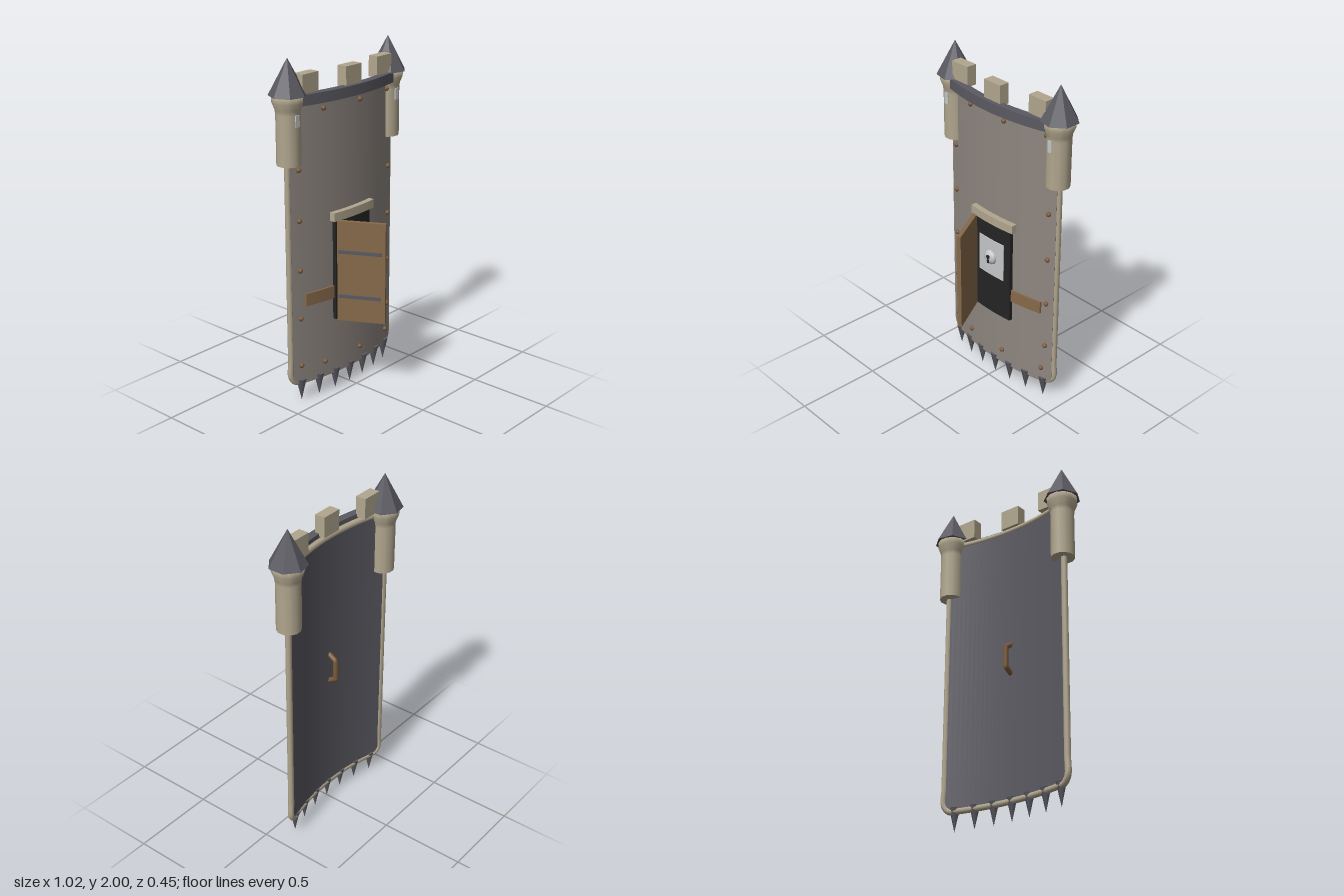
import * as THREE from 'three';

const mat = (name, color, extra = {}) => {
  const m = new THREE.MeshStandardMaterial({ color, ...extra });
  m.name = name;
  return m;
};

const CURVE = 0.37;
const bow = (x) => -CURVE * x * x;

// Box spanning the given ranges, bowed backwards towards the sides
function bentBox(x0, x1, y0, y1, z0, z1, segs = 16) {
  const g = new THREE.BoxGeometry(x1 - x0, y1 - y0, z1 - z0, segs, 1, 1);
  g.translate((x0 + x1) / 2, (y0 + y1) / 2, (z0 + z1) / 2);
  const p = g.attributes.position;
  for (let i = 0; i < p.count; i++) p.setZ(i, p.getZ(i) + bow(p.getX(i)));
  g.computeVertexNormals();
  return g;
}

export function createModel() {
  const stone = mat('paleStone', 0xb2a78f);
  const slate = mat('slate', 0x5b5a62);
  const face = mat('shieldFace', 0x8e8680);
  const wood = mat('wood', 0x86694a);
  const bronze = mat('bronze', 0x7d5c3c);
  const black = mat('darkRecess', 0x242424);
  const silver = mat('silver', 0xc6c7c9);

  const root = new THREE.Group();
  const add = (name, geo, material, x = 0, y = 0, z = 0, parent = root) => {
    const m = new THREE.Mesh(geo, material);
    m.name = name;
    m.position.set(x, y, z);
    parent.add(m);
    return m;
  };

  // Curved shield panel with clipped lower corners
  const panel = bentBox(-0.42, 0.42, 0.11, 1.77, -0.072, -0.042, 28);
  const p = panel.attributes.position;
  for (let i = 0; i < p.count; i++) {
    if (p.getY(i) < 0.2 && Math.abs(p.getX(i)) > 0.41) p.setY(i, 0.14);
  }
  add('panel', panel, [slate, slate, slate, slate, face, slate]);

  // Rim tube following the panel outline
  const outline = [];
  const rimPoint = (x, y) => outline.push(new THREE.Vector3(x, y, -0.061 + bow(x)));
  for (let i = -10; i <= 10; i++) rimPoint(i * 0.0385, 0.115);
  for (let i = 0; i <= 16; i++) rimPoint(0.418, 0.15 + i * 0.099);
  for (let i = 10; i >= -10; i--) rimPoint(i * 0.0385, 1.77);
  for (let i = 16; i >= 0; i--) rimPoint(-0.418, 0.15 + i * 0.099);
  const rimCurve = new THREE.CatmullRomCurve3(outline, true, 'centripetal');
  rimCurve.arcLengthDivisions = 800;
  add('rim', new THREE.TubeGeometry(rimCurve, 220, 0.018, 8, true), stone);

  // Band and battlements along the top
  add('topBand', bentBox(-0.37, 0.37, 1.745, 1.805, -0.045, 0.003), slate);
  for (const s of [-1, 0, 1]) {
    add('merlon', new THREE.BoxGeometry(0.124, 0.12, 0.062),
      stone, s * 0.301 + 0.002, 1.85, s ? -0.09 : -0.052);
  }

  // Corner towers with pointed roofs and window slits
  const towerProfile = [
    [0, 1.42], [0.068, 1.42], [0.068, 1.42], [0.068, 1.7], [0.071, 1.725],
    [0.087, 1.765], [0.087, 1.805], [0, 1.805],
  ].map(([r, y]) => new THREE.Vector2(r, y));
  const towerGeo = new THREE.LatheGeometry(towerProfile, 12, Math.PI / 12);
  const roofGeo = new THREE.ConeGeometry(0.106, 0.2, 7).toNonIndexed();
  roofGeo.computeVertexNormals();
  for (const s of [-1, 1]) {
    const tower = new THREE.Group();
    tower.name = s > 0 ? 'leftTower' : 'rightTower';
    tower.position.set(s * 0.408, 0, -0.122);
    root.add(tower);
    add('towerBody', towerGeo, stone, 0, 0, 0, tower);
    add('towerRoof', roofGeo, slate, 0, 1.9, 0, tower).rotation.y = -Math.PI / 2;
    add('towerWindow', new THREE.BoxGeometry(0.028, 0.066, 0.009), silver, 0, 1.67, 0.067, tower);
  }

  // Spikes along the bottom edge
  const spikeGeo = new THREE.ConeGeometry(0.03, 0.135, 7);
  spikeGeo.rotateX(Math.PI);
  for (let i = -3; i <= 3; i++) {
    const x = i * 0.12;
    add('spike', spikeGeo, slate, x, 0.0675, -0.055 + bow(x));
  }

  // Rivets spaced around the border
  const rivetGeo = new THREE.SphereGeometry(0.015, 8, 6);
  const rivets = [];
  for (let i = 0; i < 5; i++) rivets.push([-0.37, 0.225 + i * 0.29]);
  for (let i = 0; i < 4; i++) rivets.push([0.377, 0.37 + i * 0.29]);
  for (let i = 0; i < 3; i++) {
    rivets.push([-0.207 + i * 0.28, 1.705], [-0.21 + i * 0.283, 0.205]);
  }
  for (const [x, y] of rivets) add('rivet', rivetGeo, bronze, x, y, -0.038 + bow(x));

  // Cross plank, doorway and lintel
  add('crossPlank', bentBox(-0.34, 0.345, 0.585, 0.66, -0.045, -0.03), wood);
  add('doorway', bentBox(-0.145, 0.145, 0.455, 1.055, -0.045, -0.02, 8), black);
  add('lintel', bentBox(-0.165, 0.17, 1.052, 1.102, -0.045, -0.008, 8), stone);

  // Lock plate, knob and keyhole
  add('lockPlate', bentBox(-0.1, 0.1, 0.71, 0.945, -0.022, -0.015, 8), silver);
  const knob = add('lockKnob', new THREE.SphereGeometry(0.045, 10, 8), silver, 0, 0.83, -0.015);
  knob.scale.z = 0.6;
  const hole = new THREE.CylinderGeometry(0.012, 0.012, 0.006, 10);
  hole.rotateX(Math.PI / 2);
  add('keyholeTop', hole, black, 0.004, 0.842, 0.011);
  add('keyholeSlot', new THREE.BoxGeometry(0.013, 0.04, 0.009), black, 0.004, 0.822, 0.0085);

  // Door standing open on its hinges
  const door = new THREE.Group();
  door.name = 'door';
  door.position.set(-0.137, 0, -0.02);
  door.rotation.y = -Math.atan2(0.242, 0.132);
  root.add(door);
  add('doorLeaf', new THREE.BoxGeometry(0.276, 0.6, 0.025), wood, 0.138, 0.755, 0, door);
  for (const y of [0.875, 0.607]) {
    add('hingeStrap', new THREE.BoxGeometry(0.245, 0.02, 0.009), slate, 0.13, y, 0.016, door);
  }

  // Grip on the back
  const grip = new THREE.CurvePath();
  const gripPoints = [[0.85, -0.065], [0.88, -0.115], [1.0, -0.115], [1.03, -0.065]]
    .map(([y, z]) => new THREE.Vector3(0, y, z));
  for (let i = 0; i < 3; i++) grip.add(new THREE.LineCurve3(gripPoints[i], gripPoints[i + 1]));
  add('backGrip', new THREE.TubeGeometry(grip, 24, 0.015, 8), bronze);

  return root;
}
